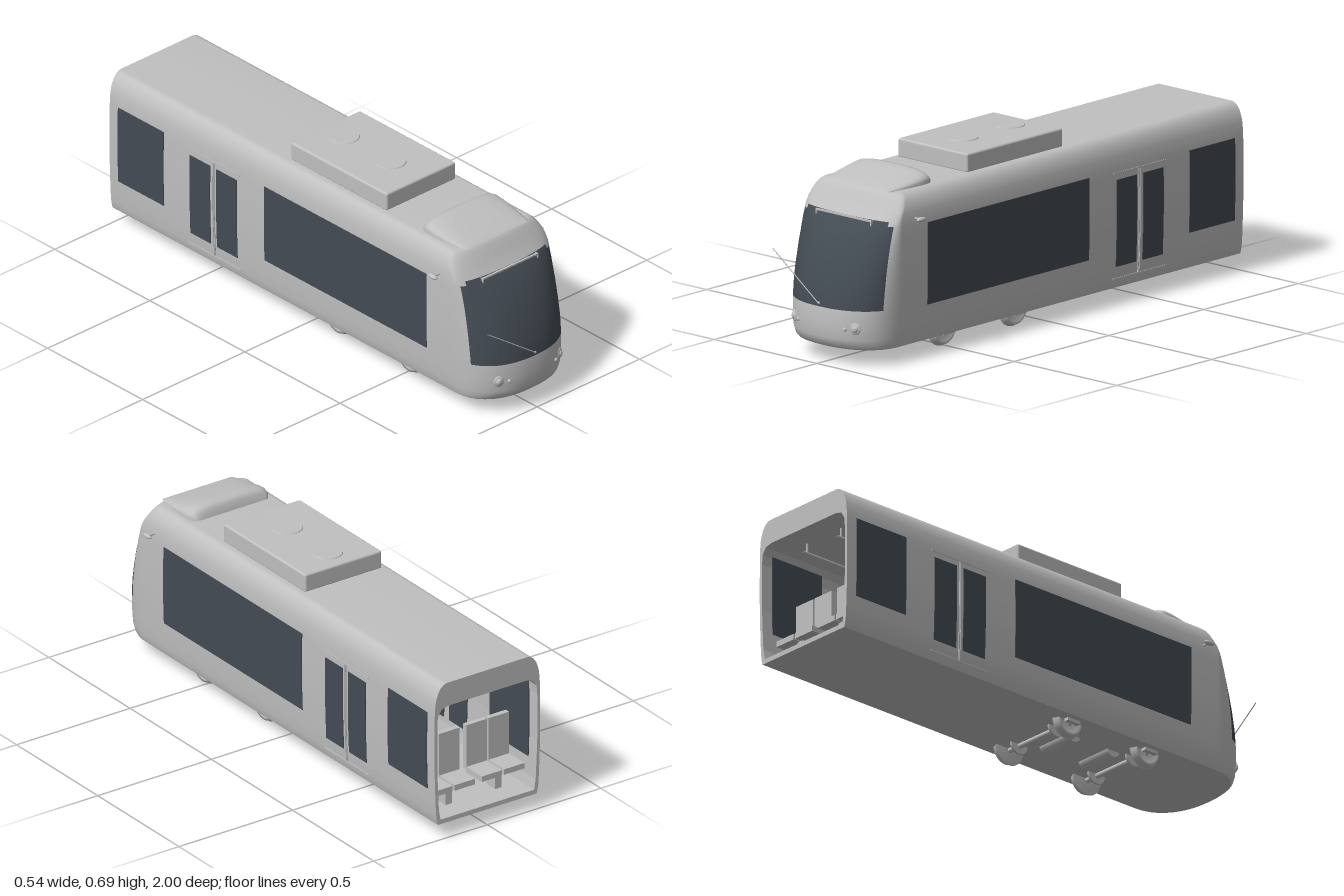
import * as THREE from 'three';
import { RoundedBoxGeometry } from 'three/addons/geometries/RoundedBoxGeometry.js';

const paint = new THREE.MeshStandardMaterial({ color: 0xc0c0c0, side: THREE.DoubleSide });
paint.name = 'light grey paint';
const glass = new THREE.MeshStandardMaterial({ color: 0x434b53, side: THREE.DoubleSide });
glass.name = 'dark glass';

// Body levels: height, half width, front z
const LEVELS = [
  [0.062, 0.217, 0.965], [0.075, 0.221, 0.98], [0.1, 0.225, 0.99], [0.15, 0.228, 0.993], [0.21, 0.23, 0.99],
  [0.27, 0.232, 0.979], [0.33, 0.2325, 0.961], [0.39, 0.2325, 0.937], [0.44, 0.232, 0.912], [0.48, 0.232, 0.888],
  [0.51, 0.231, 0.866], [0.525, 0.23, 0.853], [0.55, 0.2275, 0.835], [0.57, 0.223, 0.822], [0.59, 0.215, 0.81],
  [0.605, 0.205, 0.8], [0.615, 0.193, 0.793], [0.62, 0.178, 0.785],
];
const POWER = 2.3;
const COLS = 16;

function level(y) {
  let i = 1;
  while (i < LEVELS.length - 1 && LEVELS[i][0] < y) i++;
  const [a, b] = [LEVELS[i - 1], LEVELS[i]];
  const t = (y - a[0]) / (b[0] - a[0]);
  const w = a[1] + (b[1] - a[1]) * t;
  const front = a[2] + (b[2] - a[2]) * t;
  return { w, front, start: Math.min(0.8, front - 0.045) };
}

// Height of the nose surface along z
function noseZ(x, y) {
  const { w, front, start } = level(y);
  return start + (front - start) * Math.pow(1 - Math.pow(Math.abs(x) / w, POWER), 1 / POWER);
}

// Horizontal outline of the body, rear to nose to rear
function bodyRing(y, scaleX = 1) {
  const { w, front, start } = level(y);
  const pts = [new THREE.Vector3(w * scaleX, y, -1)];
  for (let i = 0; i <= 2 * COLS; i++) {
    const t = (Math.PI / 2) * (i / COLS);
    const c = Math.cos(t);
    const x = Math.sign(c) * w * Math.pow(Math.abs(c), 2 / POWER);
    const z = start + (front - start) * Math.pow(Math.max(0, Math.sin(t)), 2 / POWER);
    pts.push(new THREE.Vector3(x * scaleX, y, z));
  }
  pts.push(new THREE.Vector3(-w * scaleX, y, -1));
  return pts;
}

// Surface through rings; cells chosen by isGlass use the second material
function loft(rings, isGlass = () => false) {
  const n = rings[0].length;
  const cells = [[], []];
  for (let r = 0; r < rings.length - 1; r++) {
    for (let c = 0; c < n - 1; c++) {
      const a = r * n + c, b = a + n;
      cells[isGlass(r, c) ? 1 : 0].push(a, b, a + 1, a + 1, b, b + 1);
    }
  }
  const g = new THREE.BufferGeometry().setFromPoints(rings.flat());
  g.setIndex([...cells[0], ...cells[1]]);
  g.addGroup(0, cells[0].length, 0);
  g.addGroup(cells[0].length, cells[1].length, 1);
  g.computeVertexNormals();
  return g;
}

export function createModel() {
  const model = new THREE.Group();
  model.name = 'tram';
  const add = (name, geo, mat = paint, x = 0, y = 0, z = 0) => {
    const m = new THREE.Mesh(geo, mat);
    m.name = name;
    m.position.set(x, y, z);
    model.add(m);
    return m;
  };
  const box = (name, w, h, d, x, y, z, mat) => add(name, new THREE.BoxGeometry(w, h, d), mat, x, y, z);
  const rod = (name, a, b, r) => {
    const path = new THREE.LineCurve3(new THREE.Vector3(...a), new THREE.Vector3(...b));
    return add(name, new THREE.TubeGeometry(path, 1, r, 8), paint);
  };
  // Thin plate that follows the curve of the side wall
  const sidePlate = (name, s, y0, y1, z0, z1, off, mat) => {
    const g = new THREE.BoxGeometry(0.003, y1 - y0, Math.abs(z1 - z0), 1, 8, 1);
    g.translate(0, (y0 + y1) / 2, (z0 + z1) / 2);
    const p = g.attributes.position;
    for (let i = 0; i < p.count; i++) p.setX(i, p.getX(i) + s * (level(p.getY(i)).w + off));
    return add(name, g, mat);
  };

  // Shell with windscreen
  const first = LEVELS.findIndex((l) => l[0] === 0.21), last = LEVELS.findIndex((l) => l[0] === 0.51);
  const rings = LEVELS.map((l) => bodyRing(l[0]));
  rings.push(bodyRing(0.62, 0));
  add('bodyShell', loft(rings, (r, c) => {
    const edge = r === last ? 6 : 4;
    return r >= first && r <= last && c >= 1 + edge && c < 1 + 2 * COLS - edge;
  }), [paint, glass]);
  add('underside', loft([bodyRing(0.062), bodyRing(0.062, 0)]), [paint, glass]);

  // Open rear frame and interior lining
  const mirrored = (half) => [...half, ...half.slice().reverse().map(([x, y]) => [-x, y])];
  const inner = mirrored([[0.206, 0.08], [0.213, 0.12], [0.217, 0.2], [0.22, 0.28], [0.22, 0.46],
    [0.217, 0.495], [0.2, 0.52], [0.17, 0.527]]);
  const vec = (list) => list.map(([x, y]) => new THREE.Vector2(x, y));
  const frame = new THREE.Shape(vec(mirrored(LEVELS.map(([y, w]) => [w, y]))));
  frame.holes.push(new THREE.Path(vec(inner)));
  add('rearFrame', new THREE.ShapeGeometry(frame), paint, 0, 0, -1);
  const closed = [...inner, inner[0]];
  const lining = loft([-1, 0.76].map((z) => closed.map(([x, y]) => new THREE.Vector3(x, y, z))));
  const liningFlat = lining.toNonIndexed();
  liningFlat.computeVertexNormals();
  add('interiorLining', liningFlat, [paint, glass]);

  for (const s of [-1, 1]) {
    // Side windows, outside and inside faces
    for (const off of [0.001, -0.0165]) {
      sidePlate('sideWindow', s, 0.195, 0.5, -0.185, 0.667, off, glass);
      sidePlate('rearWindow', s, 0.195, 0.5, -0.955, -0.715, off, glass);
      for (const z of [-0.577, -0.437]) sidePlate('doorWindow', s, 0.142, 0.465, z, z + 0.107, off, glass);
    }
    // Door trim
    sidePlate('doorTopTrim', s, 0.486, 0.492, -0.592, -0.314, 0.001);
    sidePlate('doorSill', s, 0.094, 0.1, -0.592, -0.314, 0.001);
    for (const z of [-0.457, -0.45]) sidePlate('doorEdge', s, 0.1, 0.486, z, z + 0.003, 0.0015);

    // Mirror cameras
    rod('mirrorArm', [s * 0.22, 0.527, 0.73], [s * 0.26, 0.527, 0.73], 0.004);
    add('mirrorPod', new THREE.SphereGeometry(0.009, 16, 12), paint, s * 0.26, 0.527, 0.73).scale.z = 2.6;

    // Lamps
    const lamp = (name, x, y, rx, ry, depth) => {
      const m = add(name, new THREE.SphereGeometry(1, 20, 14), paint, s * x, y, noseZ(x, y));
      m.scale.set(rx, ry, depth);
      m.rotation.y = s * 0.45;
    };
    lamp('headlampRim', 0.148, 0.145, 0.02, 0.022, 0.006);
    lamp('headlampLens', 0.148, 0.145, 0.013, 0.015, 0.011);
    lamp('indicatorLamp', 0.113, 0.141, 0.0075, 0.0075, 0.008);

    // Ceiling handrails
    rod('handrail', [s * 0.09, 0.49, -0.92], [s * 0.09, 0.49, 0.6], 0.005);
    for (const z of [-0.9, -0.28, 0.3]) rod('handrailHanger', [s * 0.09, 0.49, z], [s * 0.09, 0.53, z], 0.004);
  }

  // Windscreen top rail
  box('windscreenRail', 0.27, 0.006, 0.008, 0, 0.522, 0.858);
  for (const s of [-1, 1]) box('railEnd', 0.005, 0.018, 0.03, s * 0.133, 0.514, 0.846);

  // Wiper
  rod('wiperArm', [0, 0.222, 0.993], [-0.228, 0.382, 0.985], 0.002);
  add('wiperPivot', new THREE.SphereGeometry(0.005, 12, 8), paint, 0, 0.222, 0.99);

  // Roof unit with fan covers
  add('roofUnit', new RoundedBoxGeometry(0.338, 0.072, 0.505, 3, 0.008), paint, 0, 0.652, 0.1375);
  for (const z of [-0.015, 0.23]) {
    add('fanCover', new THREE.CylinderGeometry(0.054, 0.057, 0.005, 32), paint, 0, 0.689, z);
  }

  // Roof fairing behind the nose
  const fairing = [[0.79, 0.15, 0], [0.775, 0.158, 0.008], [0.7, 0.17, 0.027], [0.64, 0.175, 0.041], [0.608, 0.174, 0.048],
    [0.588, 0.17, 0.044], [0.575, 0.162, 0.03], [0.568, 0.154, 0]];
  add('roofFairing', loft(fairing.map(([z, w, h]) => Array.from({ length: 25 }, (_, i) => {
    const a = (Math.PI * i) / 24, c = Math.cos(a);
    return new THREE.Vector3(Math.sign(c) * w * Math.pow(Math.abs(c), 0.6), 0.619 + h * Math.pow(Math.abs(Math.sin(a)), 0.6), z);
  }))), [paint, glass]);

  // Bogie: wheels, axles, brake discs, motors
  const wheelProfile = vec([[0, -0.012], [0.065, -0.012], [0.065, -0.006], [0.059, -0.003], [0.056, 0.013],
    [0.046, 0.013], [0.03, 0.007], [0, 0.009]]);
  const wheelGeo = new THREE.LatheGeometry(wheelProfile, 32);
  for (const z of [0.51, 0.135]) {
    rod('axle', [-0.18, 0.055, z], [0.18, 0.055, z], 0.01);
    for (const s of [-1, 1]) {
      add('wheel', wheelGeo, paint, s * 0.16, 0.065, z).rotation.z = -s * Math.PI / 2;
      const disc = add('brakeDisc', new THREE.CylinderGeometry(0.04, 0.04, 0.009, 28), paint, s * 0.1, 0.065, z);
      disc.rotation.z = Math.PI / 2;
      box('axleBox', 0.02, 0.02, 0.06, s * 0.185, 0.06, z);
    }
  }
  for (const z of [0.42, 0.23]) {
    const motor = add('motor', new THREE.CylinderGeometry(0.03, 0.03, 0.153, 24), paint, -0.0135, 0.069, z);
    motor.rotation.z = Math.PI / 2;
  }

  // Seats facing the rear, in pairs either side of the aisle
  for (const z of [-0.85, -0.1, 0.15, 0.4]) {
    for (const x of [-0.158, -0.06, 0.06, 0.158]) {
      box('seatCushion', 0.09, 0.022, 0.1, x, 0.155, z - 0.045);
      box('seatBack', 0.09, 0.175, 0.02, x, 0.245, z + 0.01);
    }
    for (const s of [-1, 1]) box('seatPedestal', 0.03, 0.07, 0.05, s * 0.109, 0.112, z - 0.04);
  }
  return model;
}
